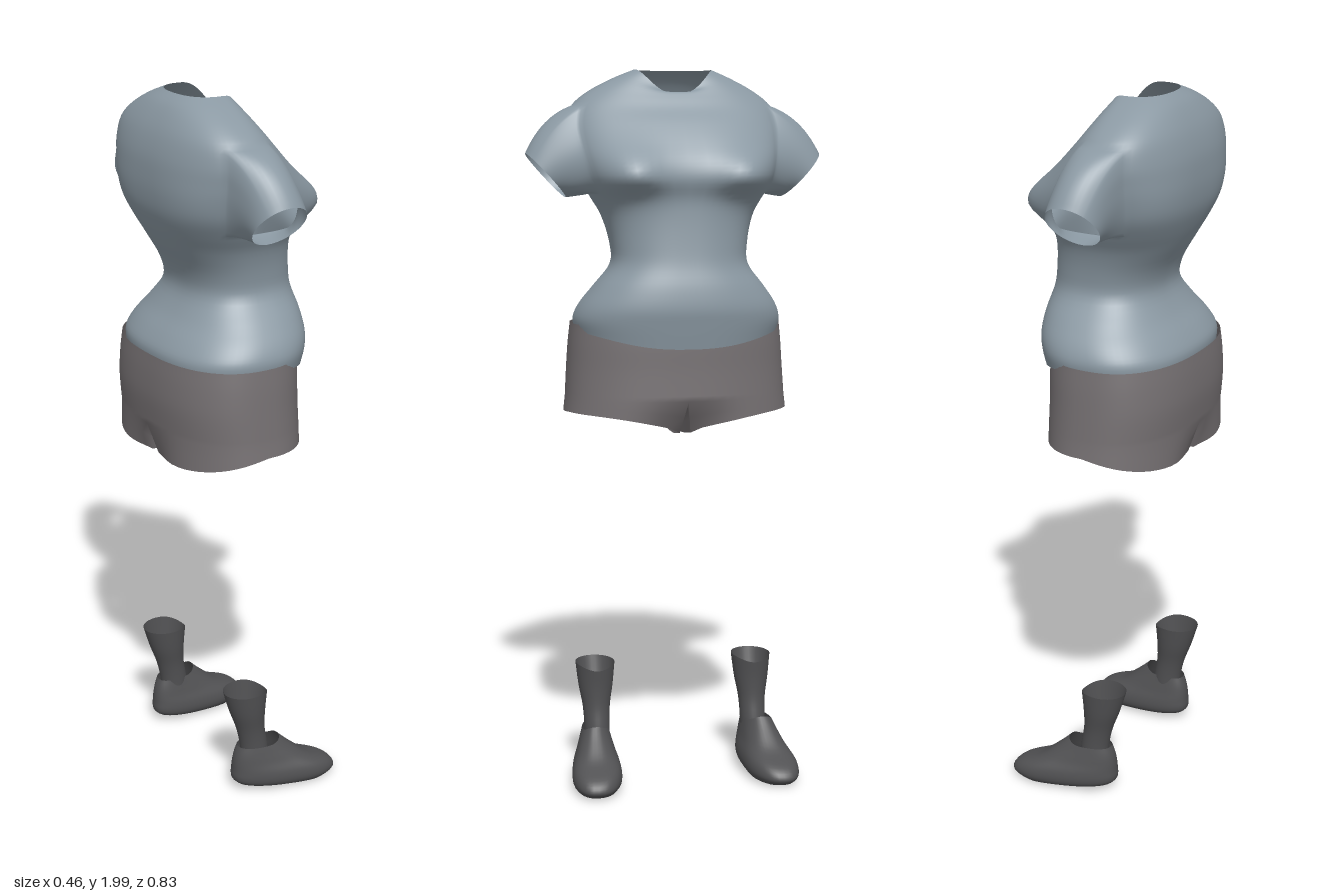
import * as THREE from 'three';
import { mergeGeometries, mergeVertices } from 'three/addons/utils/BufferGeometryUtils.js';

const flat = (name, color) => {
  const m = new THREE.MeshStandardMaterial({ color, side: THREE.DoubleSide });
  m.name = name;
  return m;
};

// Skin a stack of closed loops of Vector3; quads for which skip(i, j) holds are left open
function loft(loops, skip = () => false) {
  const n = loops[0].length, index = [];
  for (let i = 0; i < loops.length - 1; i++) {
    for (let j = 0; j < n; j++) {
      if (skip(i, j)) continue;
      const k = (j + 1) % n;
      const a = i * n + j, b = i * n + k, c = a + n, d = b + n;
      index.push(a, c, b, b, c, d);
    }
  }
  const g = new THREE.BufferGeometry().setFromPoints(loops.flat());
  g.setIndex(index);
  g.computeVertexNormals();
  return g;
}

// Join lofts that share border points into one smooth surface
function weld(parts) {
  const all = mergeGeometries(parts);
  all.deleteAttribute('normal');
  const g = mergeVertices(all, 1e-4);
  g.computeVertexNormals();
  return g;
}

// Smoothly resample a table of profile rows
function resample(rows, count) {
  const out = [];
  for (let i = 0; i <= count; i++) {
    const t = (i / count) * (rows.length - 1);
    const k = Math.min(Math.floor(t), rows.length - 2), f = t - k;
    const at = (q) => rows[Math.max(0, Math.min(rows.length - 1, q))];
    out.push(rows[k].map((p, c) => {
      const m0 = (at(k + 1)[c] - at(k - 1)[c]) / 2, m1 = (at(k + 2)[c] - p) / 2, e = at(k + 1)[c];
      return (2 * f ** 3 - 3 * f * f + 1) * p + (f ** 3 - 2 * f * f + f) * m0
        + (3 * f * f - 2 * f ** 3) * e + (f ** 3 - f * f) * m1;
    }));
  }
  return out;
}

const spow = (v, p) => Math.sign(v) * Math.abs(v) ** p;

// Rounded cross-section point: side height, front height, back x, front x, half width
function ringPoint([y, yFront, back, front, half], a, n) {
  const c = Math.cos(a), s = Math.sin(a);
  return new THREE.Vector3(
    (back + front) / 2 + spow(c, 2 / n) * (front - back) / 2,
    y + (yFront - y) * Math.max(0, c) ** 3,
    spow(s, 2 / n) * half);
}
const ring = (row, count, n = 2) =>
  Array.from({ length: count }, (_, j) => ringPoint(row, (j / count) * Math.PI * 2, n));

// Fitted shirt: body with bust and neck opening, sleeves grown out of its armholes
function shirt() {
  const rows = [
    [1.285, 1.245, -0.214, 0.188, 0.284], [1.32, 1.31, -0.214, 0.2, 0.288],
    [1.36, 1.355, -0.19, 0.206, 0.272], [1.41, 1.41, -0.15, 0.2, 0.235],
    [1.47, 1.47, -0.12, 0.185, 0.19], [1.53, 1.53, -0.13, 0.177, 0.19],
    [1.6, 1.6, -0.168, 0.172, 0.208], [1.65, 1.65, -0.193, 0.173, 0.235],
    [1.7, 1.7, -0.212, 0.185, 0.262], [1.75, 1.75, -0.22, 0.175, 0.278],
    [1.8, 1.8, -0.221, 0.145, 0.29], [1.85, 1.85, -0.217, 0.105, 0.295],
    [1.9, 1.89, -0.204, 0.066, 0.28], [1.94, 1.92, -0.185, 0.042, 0.232],
    [1.975, 1.935, -0.16, 0.028, 0.165], [1.998, 1.93, -0.13, 0.02, 0.108],
  ];
  const loops = resample(rows, 60).map((row) =>
    ring(row, 72, 2.4 + 0.5 * Math.exp(-(((row[0] - 1.73) / 0.09) ** 2))));
  loops.flat().forEach((p) => {
    if (p.x > 0) {
      const dy = (p.y - 1.705) / (p.y > 1.705 ? 0.075 : 0.045);
      p.x += 0.05 * Math.exp(-(((Math.abs(p.z) - 0.16) / 0.08) ** 2) - dy * dy);
    }
  });
  // armholes: a block of quads centred on each side
  const low = 29, high = 48, reach = 5, sides = [18, 54];
  const body = loft(loops, (i, j) => i >= low && i < high
    && sides.some((c) => j >= c - reach && j < c + reach));
  const sleeves = sides.map((centre) => {
    const edge = [];
    const put = (i, dj) => edge.push({
      p: loops[i][centre + dj],
      a: Math.atan2((2 * i - low - high) / (high - low), (centre < 36 ? -dj : dj) / reach),
    });
    for (let d = -reach; d < reach; d++) put(low, d);
    for (let i = low; i < high; i++) put(i, reach);
    for (let d = reach; d > -reach; d--) put(high, d);
    for (let i = high; i > low; i--) put(i, -reach);
    const side = centre < 36 ? 1 : -1, sections = [];
    for (let k = 0; k <= 14; k++) {
      const t = k / 14, bulge = 4 * t * (1 - t);
      sections.push(edge.map(({ p, a }) => {
        const s = (1 + Math.sin(a)) / 2;
        const rimX = -0.032 + Math.cos(a) * 0.074;
        const rimY = 1.65 + 0.12 * s, rimZ = side * (0.305 + 0.11 * s);
        return new THREE.Vector3(
          THREE.MathUtils.lerp(p.x, rimX, t ** 0.8),
          THREE.MathUtils.lerp(p.y, rimY, t) + 0.018 * bulge * s,
          THREE.MathUtils.lerp(p.z, rimZ, t) + side * 0.01 * bulge * (2 * s - 1));
      }));
    }
    return loft(sections);
  });
  return weld([body, ...sleeves]);
}

// Shorts: hip tube that divides into two short legs
function shorts() {
  const N = 64, M = 16, n = 2.4;
  const rows = [
    [1.1, 1.1, -0.222, 0.172, 0.31], [1.18, 1.18, -0.23, 0.17, 0.305],
    [1.25, 1.25, -0.228, 0.17, 0.3], [1.305, 1.305, -0.222, 0.168, 0.294],
  ];
  const hips = loft(resample(rows, 12).map((r) => ring(r, N, n)));
  const legs = [1, -1].map((side) => {
    const top = [], hem = [];
    for (let j = 0; j <= N / 2; j++) {
      const a = (j / N) * Math.PI * 2 + (side < 0 ? Math.PI : 0);
      const p = ringPoint(rows[0], a, n);
      top.push(p);
      const inner = Math.exp(-((p.z / 0.09) ** 2));
      const back = Math.max(0, -Math.cos(a));
      const drop = (1 - Math.abs(p.z) / 0.31) ** 2;
      hem.push(new THREE.Vector3(
        p.x * (1 - (p.x > 0 ? 0.3 : 0.12) * inner),
        1.062 - 0.05 * back - 0.055 * drop * (1 - back),
        side * Math.max(0.015, Math.abs(p.z) * 1.015)));
    }
    // inner thigh, from the end of the outer arc back to its start
    const t0 = top[N / 2], t1 = top[0], h0 = hem[N / 2], h1 = hem[0];
    for (let k = 1; k < M; k++) {
      const t = k / M, dip = Math.sin(t * Math.PI);
      const p = t0.clone().lerp(t1, t);
      p.y -= 0.055 * dip;
      top.push(p);
      const q = h0.clone().lerp(h1, t);
      q.y -= 0.018 * dip;
      q.z = side * (0.012 + 0.012 * (1 - dip));
      hem.push(q);
    }
    const middle = top.map((p, i) => p.clone().lerp(hem[i], 0.5));
    return loft([hem, middle, top]);
  });
  return weld([hips, ...legs]);
}

// Low shoe with closed sole and open collar, toe turned outward
function shoe() {
  const rows = [
    [0.003, 0.003, 0.05, 0.06, 0.002], [0.005, 0.004, -0.05, 0.195, 0.052],
    [0.016, 0.014, -0.076, 0.226, 0.068], [0.035, 0.03, -0.083, 0.234, 0.074],
    [0.06, 0.055, -0.082, 0.212, 0.071], [0.09, 0.085, -0.08, 0.145, 0.06],
    [0.12, 0.125, -0.075, 0.095, 0.051], [0.145, 0.16, -0.066, 0.058, 0.043],
  ];
  const loops = resample(rows, 28).map((r) => ring(r, 40, 2.4));
  loops.flat().forEach((p) => {
    const heel = THREE.MathUtils.clamp((0.15 - p.x) / 0.23, 0, 1);
    p.z = p.z * (1 - 0.2 * heel) + 0.238 + 0.11 * p.x;
    p.y += 0.02 * heel * Math.max(0, 1 - p.y / 0.12);
  });
  return loft(loops);
}

// Ankle sock, open at the top
function sock() {
  const rows = [
    [0.07, 0.07, -0.05, 0.035, 0.036], [0.14, 0.14, -0.055, 0.027, 0.036],
    [0.2, 0.2, -0.068, 0.017, 0.039], [0.26, 0.26, -0.09, 0.017, 0.049],
    [0.325, 0.312, -0.11, 0.022, 0.056],
  ];
  return loft(resample(rows, 16).map((r) => ring(r, 32))).translate(0, 0, 0.23);
}

export function createModel() {
  const group = new THREE.Group();
  const blue = flat('greyBlueCloth', 0x8b99a3);
  const grey = flat('warmGreyCloth', 0x767173);
  const dark = flat('darkGrey', 0x515153);
  const add = (name, geometry, material, mirrored = false) => {
    const mesh = new THREE.Mesh(geometry, material);
    mesh.name = name;
    if (mirrored) mesh.scale.z = -1;
    group.add(mesh);
  };
  add('shirt', shirt(), blue);
  add('shorts', shorts(), grey);
  for (const mirrored of [false, true]) {
    const tag = mirrored ? 'Far' : 'Near';
    add('shoe' + tag, shoe(), dark, mirrored);
    add('sock' + tag, sock(), dark, mirrored);
  }
  return group;
}
